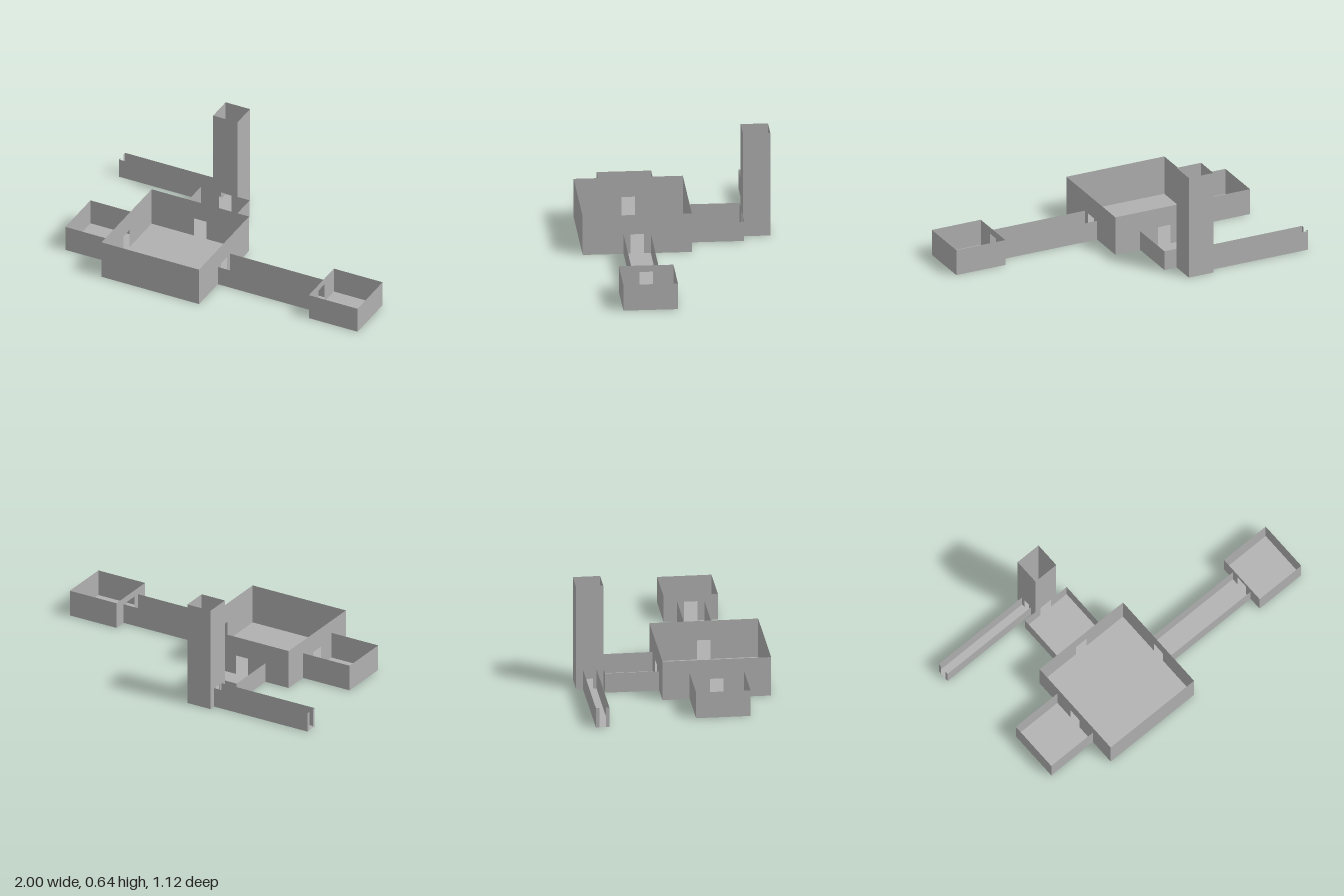
import * as THREE from 'three';

const stone = new THREE.MeshStandardMaterial({ color: 0xb0b0b0, side: THREE.DoubleSide });
stone.name = 'stone grey';

const DOOR_HEIGHT = 0.12;

// Thin upright wall between two floor points, with an optional centred doorway
function wall(name, [x0, z0], [x1, z1], height, door = 0) {
  const length = Math.hypot(x1 - x0, z1 - z0);
  const a = (length - door) / 2, b = (length + door) / 2;
  const s = new THREE.Shape();
  s.moveTo(0, 0);
  if (door) {
    s.lineTo(a, 0);
    s.lineTo(a, DOOR_HEIGHT);
    s.lineTo(b, DOOR_HEIGHT);
    s.lineTo(b, 0);
  }
  s.lineTo(length, 0);
  s.lineTo(length, height);
  s.lineTo(0, height);
  const mesh = new THREE.Mesh(new THREE.ShapeGeometry(s), stone);
  mesh.position.set(x0, 0, z0);
  mesh.rotation.y = Math.atan2(z0 - z1, x1 - x0);
  mesh.name = name;
  return mesh;
}

// Wall pierced to its full height: two stubs either side of the gap
function gapWall(name, [x0, z0], [x1, z1], height, gap) {
  const t = (1 - gap / Math.hypot(x1 - x0, z1 - z0)) / 2;
  const at = (k) => [x0 + (x1 - x0) * k, z0 + (z1 - z0) * k];
  const group = new THREE.Group();
  group.name = name;
  group.add(wall('leftJamb', at(0), at(t), height), wall('rightJamb', at(1 - t), at(1), height));
  return group;
}

// Roofless room: a floor plus the listed walls; each value is a doorway width (0 = solid)
function room(name, x0, x1, z0, z1, height, walls) {
  const group = new THREE.Group();
  group.name = name;
  const floor = new THREE.Mesh(new THREE.PlaneGeometry(x1 - x0, z1 - z0), stone);
  floor.rotation.x = -Math.PI / 2;
  floor.position.set((x0 + x1) / 2, 0, (z0 + z1) / 2);
  floor.name = 'floor';
  group.add(floor);
  const sides = {
    front: [[x0, z1], [x1, z1]],
    left: [[x1, z1], [x1, z0]],
    back: [[x1, z0], [x0, z0]],
    right: [[x0, z0], [x0, z1]],
  };
  for (const [side, door] of Object.entries(walls)) {
    const build = door && height <= DOOR_HEIGHT ? gapWall : wall;
    group.add(build(side + 'Wall', ...sides[side], height, door));
  }
  return group;
}

export function createModel() {
  const model = new THREE.Group();
  model.name = 'dungeonRooms';
  model.add(
    room('mainHall', -0.6, 0.04, -0.08, 0.56, 0.24, { front: 0, left: 0.08, back: 0.08, right: 0.08 }),
    room('rightChamber', -0.92, -0.6, 0.08, 0.4, 0.16, { front: 0, back: 0, right: 0 }),
    room('leftCorridor', 0.04, 0.68, 0.16, 0.32, 0.12, { front: 0, back: 0 }),
    room('leftChamber', 0.68, 1, 0.08, 0.4, 0.16, { front: 0, left: 0, back: 0, right: 0.08 }),
    // the tower's front wall fills the gap in this back wall
    room('backChamber', -0.44, -0.12, -0.4, -0.08, 0.12, { left: 0, back: 0.16, right: 0 }),
    room('tower', -0.36, -0.2, -0.56, -0.4, 0.64, { front: 0.08, left: 0, back: 0, right: 0.04 }),
    room('exitCorridor', -1, -0.36, -0.52, -0.44, 0.12, { front: 0, back: 0, right: 0.04 }),
  );
  return model;
}
